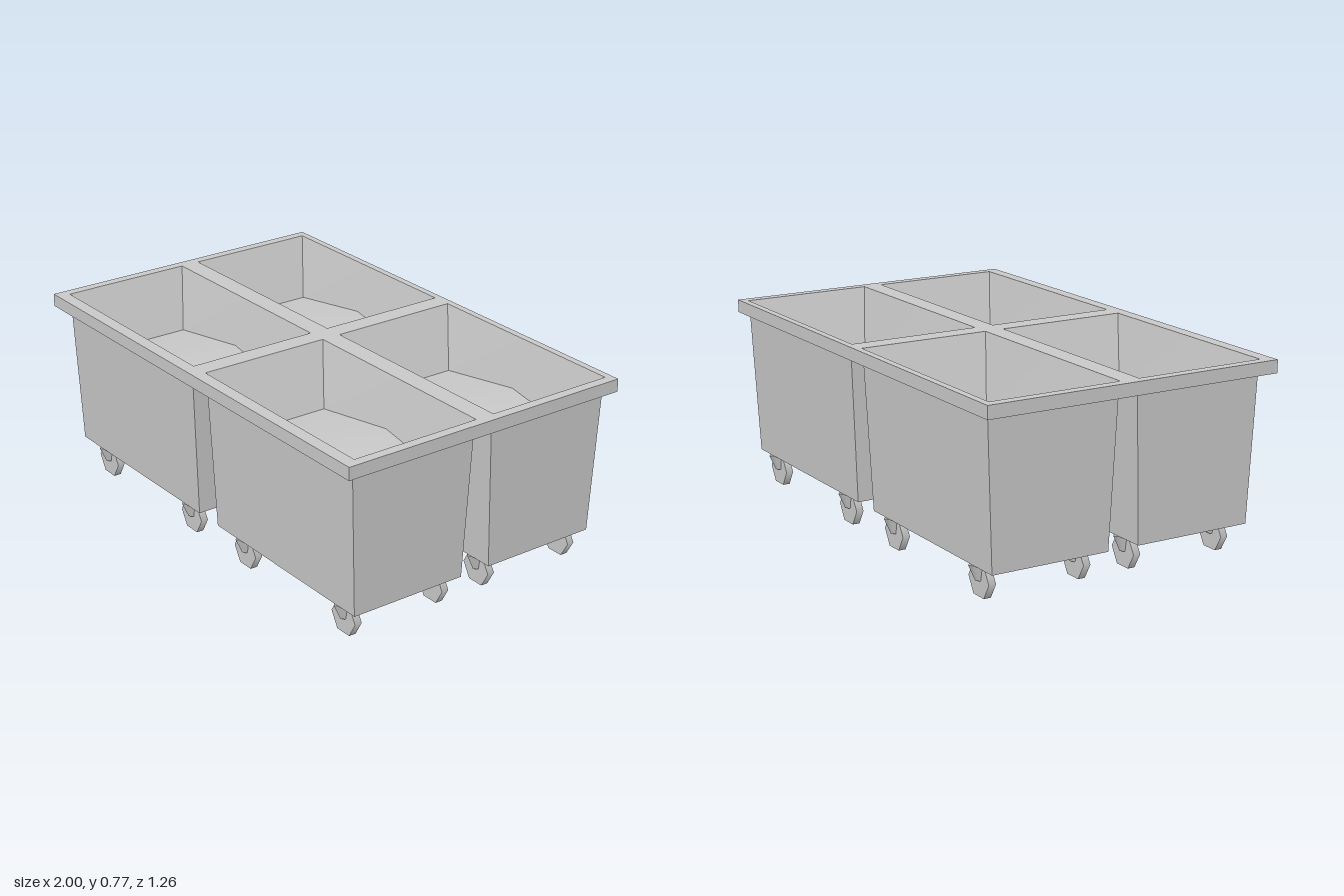
import * as THREE from 'three';

// Thin open shells, so both sides show
const grey = new THREE.MeshStandardMaterial({ color: 0xc8c8c8, side: THREE.DoubleSide });
grey.name = 'grey plastic';

// Six-point ring: four corners plus the middles of the front and back sides.
function ring(y, halfX, zBack, zFront) {
  return [[-halfX, y, zFront], [0, y, zFront], [halfX, y, zFront],
    [halfX, y, zBack], [0, y, zBack], [-halfX, y, zBack]];
}

// Flat-faced skin through a list of rings.
function skin(rings, name) {
  const p = [];
  const quad = (a, b, c, d) => [a, b, c, a, c, d].forEach(v => p.push(...v));
  for (let k = 0; k < rings.length - 1; k++) {
    const a = rings[k], b = rings[k + 1];
    for (let i = 0; i < 6; i++) {
      const j = (i + 1) % 6;
      quad(a[i], a[j], b[j], b[i]);
    }
  }
  return mesh(geometry(p), name);
}

function geometry(positions, index) {
  const g = new THREE.BufferGeometry();
  g.setAttribute('position', new THREE.Float32BufferAttribute(positions, 3));
  if (index) g.setIndex(index);
  g.computeVertexNormals();
  return g;
}

function mesh(g, name) {
  const m = new THREE.Mesh(g, grey);
  m.name = name;
  return m;
}

// Hexagonal wheel held by a tapered oval bracket.
function caster(x, z) {
  const group = new THREE.Group();
  group.name = 'caster';
  const wheelGeo = new THREE.CylinderGeometry(0.071, 0.071, 0.03, 6, 1, false, Math.PI / 2);
  wheelGeo.rotateX(Math.PI / 2);
  const wheel = mesh(wheelGeo, 'wheel');
  wheel.position.y = 0.0615;

  const bracketGeo = new THREE.CylinderGeometry(0.058, 0.029, 0.063, 8);
  const pos = bracketGeo.attributes.position;
  for (let i = 0; i < pos.count; i++) {
    pos.setX(i, pos.getX(i) * (pos.getY(i) > 0 ? 0.52 : 0.69));
  }
  bracketGeo.computeVertexNormals();
  const bracket = mesh(bracketGeo, 'wheelBracket');
  bracket.position.y = 0.0935;

  group.add(wheel, bracket);
  group.position.set(x, 0, z);
  return group;
}

function bin() {
  const group = new THREE.Group();
  group.name = 'bin';
  const bodyTop = ring(0.715, 0.451, -0.284, 0.262);
  const opening = ring(0.767, 0.46, -0.285, 0.262);
  // Edge of the arched floor, high in the middle
  const floorEdge = [[-0.37, 0.52, 0.211], [0, 0.57, 0.217], [0.362, 0.495, 0.206],
    [0.37, 0.517, -0.226], [0, 0.57, -0.239], [-0.37, 0.52, -0.224]];

  group.add(
    // Body is a skirt, open underneath
    skin([ring(0.125, 0.436, -0.257, 0.238), bodyTop], 'body'),
    skin([bodyTop, ring(0.715, 0.5, -0.314, 0.314),
      ring(0.767, 0.5, -0.314, 0.314), opening], 'rim'),
    skin([opening, floorEdge], 'innerWalls'),
    mesh(geometry(floorEdge.flat(), [0, 1, 4, 0, 4, 5, 1, 2, 3, 1, 3, 4]), 'archedFloor'),
  );
  for (const x of [-0.298, 0.328]) for (const z of [-0.214, 0.191]) group.add(caster(x, z));
  return group;
}

export function createModel() {
  const model = new THREE.Group();
  model.name = 'fourWheeledBins';
  // Two by two block of identical bins with touching rims
  for (const x of [-0.5, 0.5]) {
    for (const z of [-0.314, 0.314]) {
      const b = bin();
      b.position.set(x, 0, z);
      model.add(b);
    }
  }
  return model;
}
